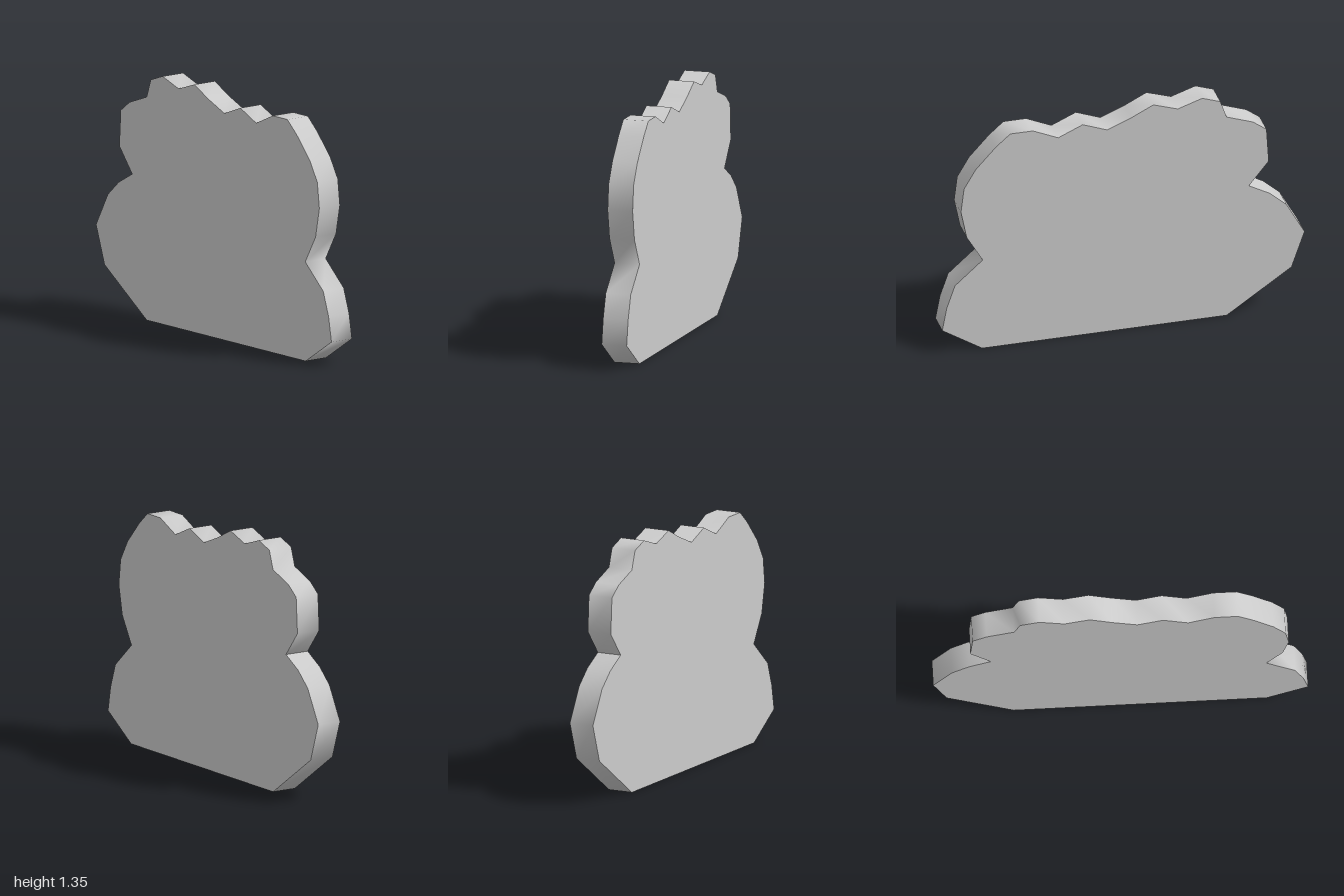
import * as THREE from 'three';
import { toCreasedNormals } from 'three/addons/utils/BufferGeometryUtils.js';

const DEPTH = 0.14;

// Bush silhouette, counter-clockwise from the bottom left corner
const OUTLINE = [
  [-0.57, 0], [0.78, 0],
  // left lower lobe
  [1, 0.14], [0.975, 0.275], [0.93, 0.405], [0.777, 0.54],
  // left upper lobe
  [0.865, 0.69], [0.897, 0.85], [0.88, 0.99], [0.815, 1.1], [0.705, 1.22], [0.625, 1.29],
  // scalloped top
  [0.5, 1.29], [0.36, 1.227], [0.225, 1.287], [0.09, 1.235], [-0.045, 1.29],
  [-0.165, 1.35], [-0.3, 1.305], [-0.435, 1.35], [-0.535, 1.315], [-0.57, 1.215],
  // right upper lobe
  [-0.715, 1.163], [-0.79, 1.107], [-0.802, 0.91], [-0.693, 0.775],
  // right lower lobe
  [-0.808, 0.712], [-0.9, 0.63], [-1, 0.45], [-0.928, 0.243],
];

export function createModel() {
  const group = new THREE.Group();
  group.name = 'bushCutout';

  // Flat panel with softly shaded rim and sharp front and back edges
  const shape = new THREE.Shape(OUTLINE.map(([x, y]) => new THREE.Vector2(x, y)));
  const extruded = new THREE.ExtrudeGeometry(shape, { depth: DEPTH, bevelEnabled: false });
  extruded.translate(0, 0, -DEPTH / 2);

  const panel = new THREE.Mesh(
    toCreasedNormals(extruded, THREE.MathUtils.degToRad(80)),
    new THREE.MeshStandardMaterial({ color: 0xcccccc })
  );
  panel.name = 'bushPanel';
  group.add(panel);
  return group;
}
